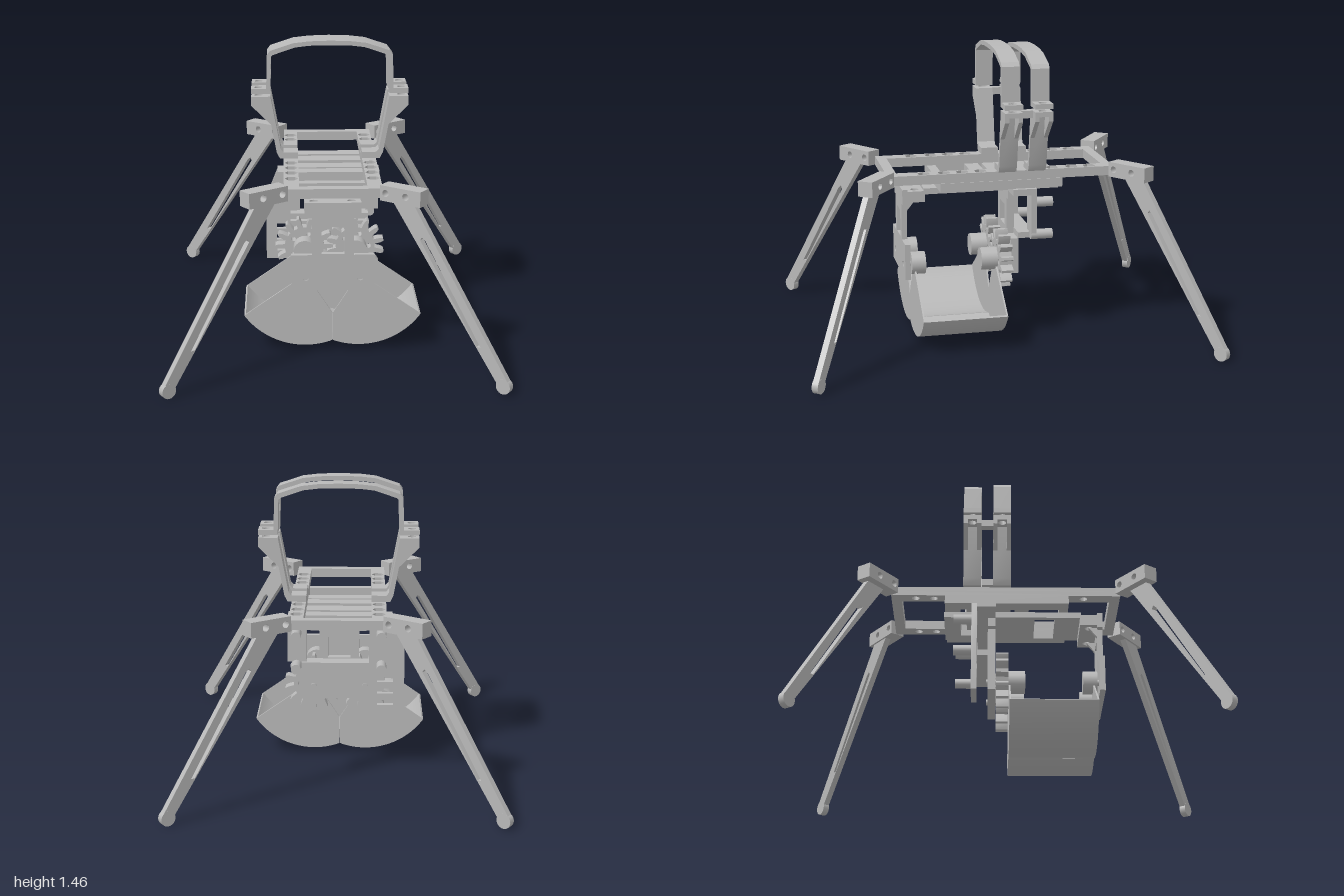
import * as THREE from 'three';
import { toCreasedNormals } from 'three/addons/utils/BufferGeometryUtils.js';

const grey = new THREE.MeshStandardMaterial({ color: 0xb8b8b8 });
grey.name = 'grey plastic';

export function createModel() {
  const root = new THREE.Group();
  root.name = 'grabber';

  const add = (name, geo, parent = root) => {
    const m = new THREE.Mesh(geo, grey);
    m.name = name;
    parent.add(m);
    return m;
  };
  // Box given by its limits on each axis
  const box = (name, x0, x1, y0, y1, z0, z1, parent) =>
    add(name, new THREE.BoxGeometry(x1 - x0, y1 - y0, z1 - z0)
      .translate((x0 + x1) / 2, (y0 + y1) / 2, (z0 + z1) / 2), parent);
  const poly = (pts) => new THREE.Shape(pts.map(([x, y]) => new THREE.Vector2(x, y)));
  const rect = (x0, x1, y0, y1) => poly([[x0, y0], [x1, y0], [x1, y1], [x0, y1]]);
  const ring = (x, y, r, n = 16) => poly(Array.from({ length: n }, (_, i) => {
    const a = (i / n) * Math.PI * 2;
    return [x + r * Math.cos(a), y + r * Math.sin(a)];
  }));
  const extrude = (shape, z0, z1, holes = []) => {
    shape.holes.push(...holes);
    const g = new THREE.ExtrudeGeometry(shape, { depth: z1 - z0, bevelEnabled: false, curveSegments: 24 });
    return toCreasedNormals(g.translate(0, 0, z0), 0.5);
  };
  // Horizontal plate; its shape is drawn in x and -z
  const flat = (name, shape, y0, y1, holes) =>
    add(name, extrude(shape, y0, y1, holes).rotateX(-Math.PI / 2));
  const rod = (name, x, y, z0, z1, r) =>
    add(name, new THREE.CylinderGeometry(r, r, z1 - z0, 24).rotateX(Math.PI / 2).translate(x, y, (z0 + z1) / 2));
  // Closed outline from its right half, listed from centre to centre
  const mirrored = (half) => poly([...half, ...half.filter((p) => p[0] > 0).reverse().map(([x, y]) => [-x, y])]);

  // Top frame: rails with nut pockets, and end bars
  const boltZ = [-0.45, -0.36, -0.26, 0.1, 0.19, 0.28, 0.38];
  for (const s of [-1, 1]) {
    const rail = () => rect(s * 0.195 - 0.035, s * 0.195 + 0.035, -0.56, 0.57);
    flat('railTop', rail(), 0.838, 0.858, boltZ.map((z) => ring(s * 0.195, -z, 0.032, 6)));
    flat('railBottom', rail(), 0.812, 0.838, boltZ.map((z) => ring(s * 0.195, -z, 0.019)));
    box('underRail', s * 0.197 - 0.037, s * 0.197 + 0.037, 0.768, 0.812, -0.305, 0.305);
  }
  box('frontBar', -0.16, 0.16, 0.812, 0.858, 0.51, 0.56);
  box('rearBar', -0.16, 0.16, 0.812, 0.858, -0.57, -0.52);
  for (const [z0, z1] of [[-0.305, -0.23], [-0.2, -0.11], [-0.06, 0.02], [0.04, 0.11], [0.26, 0.305]]) {
    box('crossBar', -0.16, 0.16, 0.768, 0.812, z0, z1);
  }
  flat('underPlate', rect(-0.135, 0.135, -0.37, 0.31), 0.738, 0.768, [rect(-0.11, 0.11, -0.24, -0.14), rect(-0.08, 0.08, 0.12, 0.23)]);

  // Four splayed legs with their mounts
  for (const sx of [-1, 1]) for (const sz of [-1, 1]) {
    const leg = new THREE.Group();
    leg.name = (sz > 0 ? 'front' : 'rear') + (sx > 0 ? 'Left' : 'Right') + 'Leg';
    leg.position.set(sx * 0.235, 0, sz * 0.565);
    const a = 0.6266;
    leg.rotation.y = -Math.atan2(sz * Math.sin(a), sx * Math.cos(a));
    root.add(leg);
    const off = sx * sz * 0.014;
    add('legMount', extrude(rect(0, 0.217, 0.812, 0.886), -0.038, 0.038,
      [ring(0.03, 0.85, 0.017), ring(0.138, 0.85, 0.017)]), leg);
    add('strut', extrude(poly([[0.632, 0.045], [0.692, 0.055], [0.17, 0.83], [0.055, 0.83]]),
      off - 0.015, off + 0.015,
      [poly([[0.523, 0.2], [0.543, 0.2], [0.243, 0.655], [0.225, 0.67], [0.215, 0.655]])]), leg);
    add('foot', new THREE.CylinderGeometry(0.036, 0.036, 0.032, 24)
      .rotateX(Math.PI / 2).translate(0.664, 0.036, off), leg);
  }

  // Two carrying straps, each a lower arm pair and an upper arch
  for (const [z0, z1, drop] of [[-0.068, 0.02, 0], [-0.215, -0.127, 0.014]]) {
    const t = 1.455 - drop;
    add('handleArch', extrude(mirrored([[0, t], [0.1, t - 0.003], [0.18, t - 0.012], [0.295, t - 0.05],
      [0.31, t - 0.07], [0.316, 1.19], [0.295, 1.19], [0.29, t - 0.08], [0.28, t - 0.07],
      [0.17, t - 0.033], [0.1, t - 0.025], [0, t - 0.023]]), z0, z1));
    const zc = (z0 + z1) / 2;
    for (const s of [-1, 1]) {
      const m = (pts) => poly(pts.map(([x, y]) => [s * x, y]));
      const tab = () => rect(s * 0.3475 - 0.0425, s * 0.3475 + 0.0425, -z1, -z0);
      flat('archTab', tab(), 1.19, 1.215, [ring(s * 0.355, -zc, 0.02)]);
      flat('armTab', tab(), 1.152, 1.176, [ring(s * 0.355, -zc, 0.02)]);
      add('arm', extrude(m([[0.16, 0.858], [0.25, 0.858], [0.266, 0.89], [0.318, 1.176], [0.295, 1.176],
        [0.245, 0.905], [0.232, 0.89], [0.16, 0.89]]), z0, z1));
      for (const z of [z0, z1 - 0.021]) {
        add('gusset', extrude(m([[0.29, 1.03], [0.39, 1.13], [0.39, 1.155], [0.305, 1.155]]), z, z + 0.021));
      }
    }
  }
  for (const s of [-1, 1]) box('strapLink', s * 0.322 - 0.02, s * 0.322 + 0.02, 1.14, 1.176, -0.13, -0.065);

  // T-shaped pivot plates carrying the bucket shafts
  const pivotPlate = () => mirrored([[0, 0.325], [0.2, 0.325], [0.2, 0.505], [0.1, 0.505],
    [0.1, 0.69], [0.135, 0.69], [0.135, 0.765], [0, 0.765]]);
  add('frontPivotPlate', extrude(pivotPlate(), 0.45, 0.477,
    [rect(-0.056, 0.056, 0.51, 0.645), ring(-0.13, 0.39, 0.015), ring(0.13, 0.39, 0.015)]));
  add('rearPivotPlate', extrude(pivotPlate(), -0.093, -0.054, [rect(-0.056, 0.056, 0.54, 0.645)]));
  flat('frontFlange', rect(-0.135, 0.135, -0.45, -0.365), 0.7, 0.755,
    [ring(-0.09, -0.41, 0.02), ring(0.09, -0.41, 0.02)]);
  for (const s of [-1, 1]) {
    const g = extrude(poly([[0.45, 0.7], [0.41, 0.7], [0.45, 0.65]]), -0.01, 0.01);
    add('plateGusset', g.rotateY(-Math.PI / 2).translate(s * 0.09, 0, 0));
  }

  // Motor holder plates and studs behind the gears
  add('slottedPlate', extrude(poly([[-0.325, 0.275], [-0.15, 0.275], [-0.15, 0.755], [-0.265, 0.755], [-0.325, 0.605]]),
    -0.172, -0.145, [0.33, 0.39, 0.45].map((y) => rect(-0.27, -0.19, y - 0.013, y + 0.013))));
  box('holderPlate', 0.16, 0.255, 0.54, 0.755, -0.172, -0.145);
  box('holderFlange', -0.265, 0.255, 0.735, 0.768, -0.172, -0.054);
  box('holderBrace', -0.2, 0.2, 0.505, 0.535, -0.172, -0.09);
  for (const x of [-0.21, 0.21]) for (const y of [0.69, 0.525]) rod('stud', x, y, -0.26, -0.15, 0.025);

  // Meshing gears, hubs and clam buckets
  const teeth = 14, cy = 0.39, R = 0.366;
  for (const s of [-1, 1]) {
    const cx = s * 0.13, pts = [], step = (Math.PI * 2) / teeth;
    for (let i = 0; i < teeth; i++) {
      const a = (i + (s > 0 ? 0.5 : 0)) * step;
      for (const [f, r] of [[-0.27, 0.1], [-0.2, 0.13], [-0.1, 0.147], [0.1, 0.147], [0.2, 0.13], [0.27, 0.1]]) {
        pts.push([cx + r * Math.cos(a + f * step), cy + r * Math.sin(a + f * step)]);
      }
    }
    const holes = Array.from({ length: 5 }, (_, i) =>
      ring(cx + 0.068 * Math.cos(i * 1.2566), cy + 0.068 * Math.sin(i * 1.2566), 0.012));
    add('gear', extrude(poly(pts), -0.052, 0.008, holes));
    rod('rearHub', cx, cy, 0, 0.09, 0.056);
    rod('frontHub', cx, cy, 0.37, 0.44, 0.056);
    rod('rearPin', cx, cy, -0.1, 0, 0.015);
    rod('frontPin', cx, cy, 0.44, 0.47, 0.015);

    // Bucket: two sector cheeks joined by a thin curved shell
    const arc = (r) => Array.from({ length: 29 }, (_, i) => {
      const a = -2.531 + (i / 28) * (2.531 - 1.206);
      return [cx - s * r * Math.cos(a), cy + r * Math.sin(a)];
    });
    const outer = arc(R).map(([x, y]) => [s * Math.max(0.001, s * x), y]);
    for (const z of [0.01, 0.418]) {
      add('bucketCheek', extrude(poly([[cx, cy], ...outer, [s * 0.001, 0.19]]), z, z + 0.008));
    }
    add('bucketShell', extrude(poly([...outer, ...arc(R - 0.01).reverse()]), 0.01, 0.426));
  }
  return root;
}
